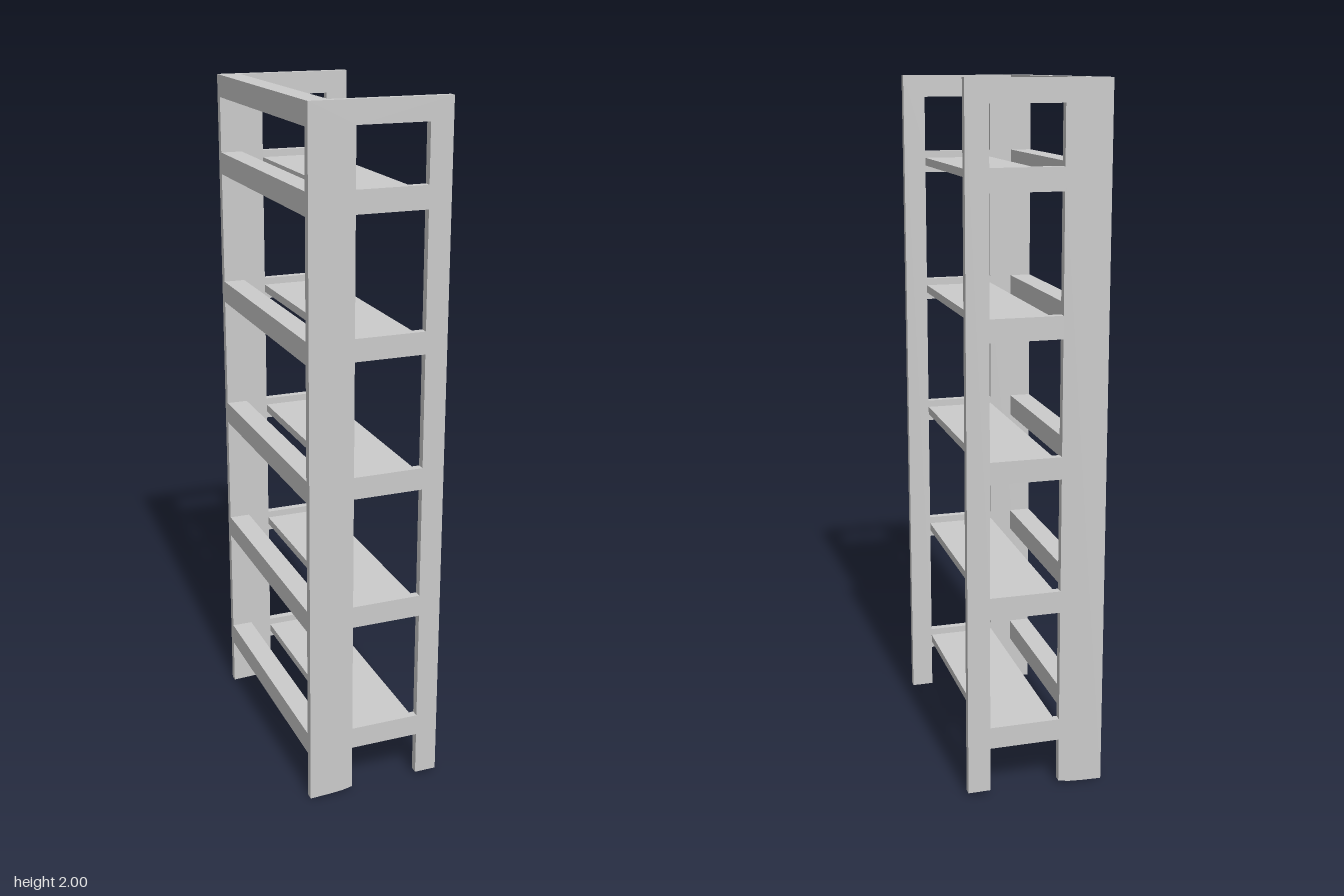
import * as THREE from 'three';

const material = new THREE.MeshStandardMaterial({ color: 0xcccccc, flatShading: true });

// main sizes
const HALF_X = 0.2, HALF_Z = 0.38, BOARD = 0.023, BAR = 0.064, TOP = 2;
const HOLE_BACK = -0.07, HOLE_FRONT = 0.135;
const INNER_Z = HALF_Z - BOARD;
// underside of the crossbar at each shelf level
const LEVELS = [0.142, 0.535, 0.927, 1.319, 1.711];

function box(name, x0, x1, y0, y1) {
  const mesh = new THREE.Mesh(new THREE.BoxGeometry(x1 - x0, y1 - y0, INNER_Z * 2), material);
  mesh.position.set((x0 + x1) / 2, (y0 + y1) / 2, 0);
  mesh.name = name;
  return mesh;
}

// ladder-shaped side frame: wide rear post, narrow front post, crossbars
function sideFrameGeometry() {
  const shape = new THREE.Shape([
    [-HALF_X, 0], [-0.14, 0.002], [-0.1, 0.005], [HOLE_BACK, 0.011],
    [HOLE_BACK, LEVELS[0]], [HOLE_FRONT, LEVELS[0]],
    [HOLE_FRONT, 0.011], [HALF_X, 0.011],
    [HALF_X, TOP], [-HALF_X, TOP],
  ].map(([x, y]) => new THREE.Vector2(x, y)));
  LEVELS.forEach((y, i) => {
    const low = y + BAR;
    const high = i < LEVELS.length - 1 ? LEVELS[i + 1] : TOP - BAR;
    shape.holes.push(new THREE.Path([
      [HOLE_BACK, low], [HOLE_BACK, high], [HOLE_FRONT, high], [HOLE_FRONT, low],
    ].map(([x, z]) => new THREE.Vector2(x, z))));
  });
  return new THREE.ExtrudeGeometry(shape, { depth: BOARD, bevelEnabled: false });
}

export function createModel() {
  const model = new THREE.Group();
  model.name = 'shelfRack';

  // two side frames
  const frame = sideFrameGeometry();
  for (const [name, z] of [['leftEndFrame', INNER_Z], ['rightEndFrame', -HALF_Z]]) {
    const mesh = new THREE.Mesh(frame, material);
    mesh.name = name;
    mesh.position.z = z;
    model.add(mesh);
  }

  // shelf boards centred on the crossbars, with a rear rail at each level
  LEVELS.forEach((y, i) => {
    const mid = y + BAR / 2;
    model.add(box(`shelf${i + 1}`, HOLE_BACK, HOLE_FRONT, mid - BOARD / 2, mid + BOARD / 2));
    model.add(box(`rearRail${i + 1}`, -HALF_X, -0.137, y, y + BAR));
  });

  // top rail
  model.add(box('topRail', -HALF_X, -0.137, TOP - BAR, TOP));
  return model;
}
